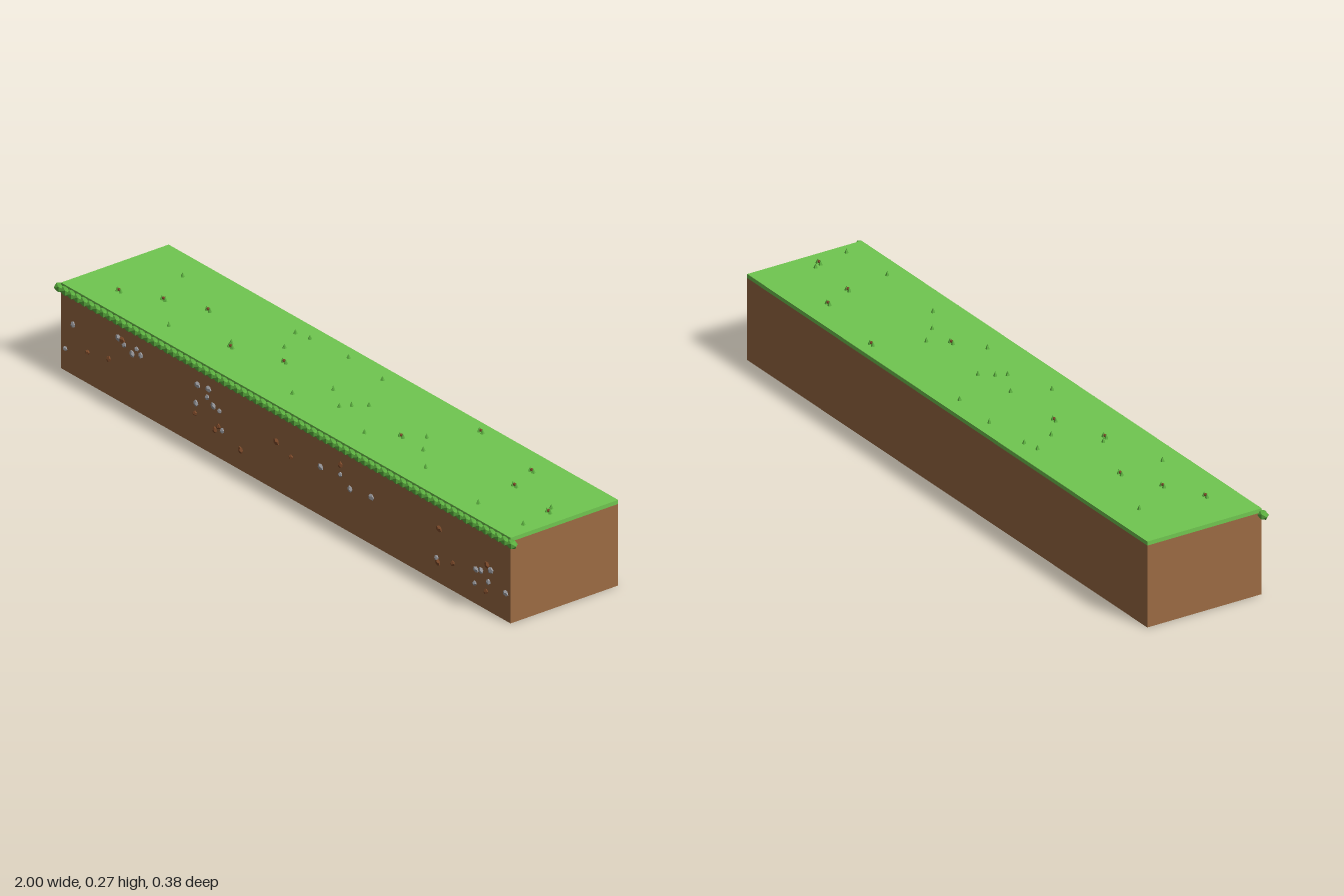
import * as THREE from 'three';

const paint = (name, color) => {
  const m = new THREE.MeshStandardMaterial({ color, flatShading: true });
  m.name = name;
  return m;
};

export function createModel() {
  const model = new THREE.Group();
  const soil = paint('soil brown', 0x9c6b43);
  const grass = paint('grass green', 0x70c650);
  const leaf = paint('leaf green', 0x5cb040);
  const stone = paint('stone grey', 0x9a9a9e);
  const clod = paint('clod brown', 0x7d4a2a);

  const add = (name, geometry, material, x, y, z, parent = model) => {
    const mesh = new THREE.Mesh(geometry, material);
    mesh.name = name;
    mesh.position.set(x, y, z);
    parent.add(mesh);
    return mesh;
  };
  const group = (name) => {
    const g = new THREE.Group();
    g.name = name;
    model.add(g);
    return g;
  };

  // Soil block with a thin turf slab on top
  const midZ = -0.006, depth = 0.368;
  add('soilBlock', new THREE.BoxGeometry(1.95, 0.245, depth), soil, 0, 0.1225, midZ);
  add('turf', new THREE.BoxGeometry(1.95, 0.012, depth), grass, 0, 0.251, midZ);

  // Row of leafy beads along the front top edge, each with a tip pointing sideways
  const edge = group('grassEdge');
  const bead = new THREE.IcosahedronGeometry(0.0148, 0);
  bead.rotateY(Math.atan2(2, 1 + Math.sqrt(5))).scale(1.3, 1, 1);
  const count = 72;
  for (let i = 0; i < count; i++) {
    add('grassBead', bead, leaf, -0.981 + (1.962 * i) / (count - 1), 0.24, 0.178, edge);
  }

  // Grass blades on the turf: [x, z]
  const blades = group('grassBlades');
  const blade = new THREE.ConeGeometry(0.006, 0.014, 5);
  const single = [
    [-0.8, -0.1], [-0.345, -0.127], [-0.295, -0.137], [-0.14, -0.147], [0.02, -0.137],
    [-0.295, -0.05], [-0.59, 0.113], [-0.065, 0.104], [-0.015, 0.004], [0.12, -0.012],
    [0.09, 0.024], [0.075, 0.054], [0.24, 0.098], [0.365, -0.016], [0.42, 0.039],
    [0.505, 0.098], [0.76, 0.119], [0.935, 0.103], [0.905, -0.016], [-0.405, 0.045],
  ];
  for (const [x, z] of single) add('grassBlade', blade, leaf, x, 0.264, z, blades);

  // Paired blades with a small clod between them
  const double = [
    [-0.835, 0.09], [-0.72, 0.028], [-0.595, -0.026], [-0.385, 0.063], [-0.225, 0.006],
    [0.32, 0.035], [0.43, -0.15], [0.7, -0.111], [0.74, -0.021], [0.92, 0.005],
  ];
  const crumb = new THREE.DodecahedronGeometry(0.005, 0);
  for (const [x, z] of double) {
    for (const s of [-1, 1]) add('grassBlade', blade, leaf, x + s * 0.007, 0.264, z, blades);
    add('crumb', crumb, clod, x, 0.264, z, blades);
  }

  // Pebbles and clods half sunk in the front face: [x, y]
  const pebbles = group('pebbles');
  const pebble = new THREE.DodecahedronGeometry(0.0105, 0);
  const greys = [
    [-0.955, 0.067], [-0.922, 0.152], [-0.725, 0.189], [-0.7, 0.178], [-0.665, 0.165],
    [-0.645, 0.187], [-0.628, 0.175], [-0.382, 0.183], [-0.34, 0.163], [-0.313, 0.147],
    [-0.286, 0.142], [-0.388, 0.126], [-0.334, 0.189], [-0.275, 0.088], [0.152, 0.147],
    [0.238, 0.158], [0.28, 0.131], [0.372, 0.142], [0.655, 0.072], [0.826, 0.104],
    [0.82, 0.061], [0.848, 0.11], [0.89, 0.126], [0.88, 0.088], [0.955, 0.083],
  ];
  const browns = [
    [-0.858, 0.094], [-0.767, 0.11], [-0.04, 0.147], [-0.291, 0.094], [-0.195, 0.061],
    [0.024, 0.126], [0.238, 0.187], [0.666, 0.163], [0.725, 0.083], [0.874, 0.136],
    [-0.393, 0.094], [-0.307, 0.078], [-0.709, 0.189], [0.869, 0.055], [0.66, 0.061],
  ];
  const scatter = (name, spots, material) => spots.forEach(([x, y], i) => {
    const mesh = add(name, pebble, material, x, y, 0.178, pebbles);
    const size = 0.75 + 0.3 * ((i * 7) % 5) / 4;
    mesh.scale.set(size * 1.1, size * 0.9, 0.7);
    mesh.rotation.z = i * 1.3;
  });
  scatter('greyPebble', greys, stone);
  scatter('brownClod', browns, clod);

  return model;
}
